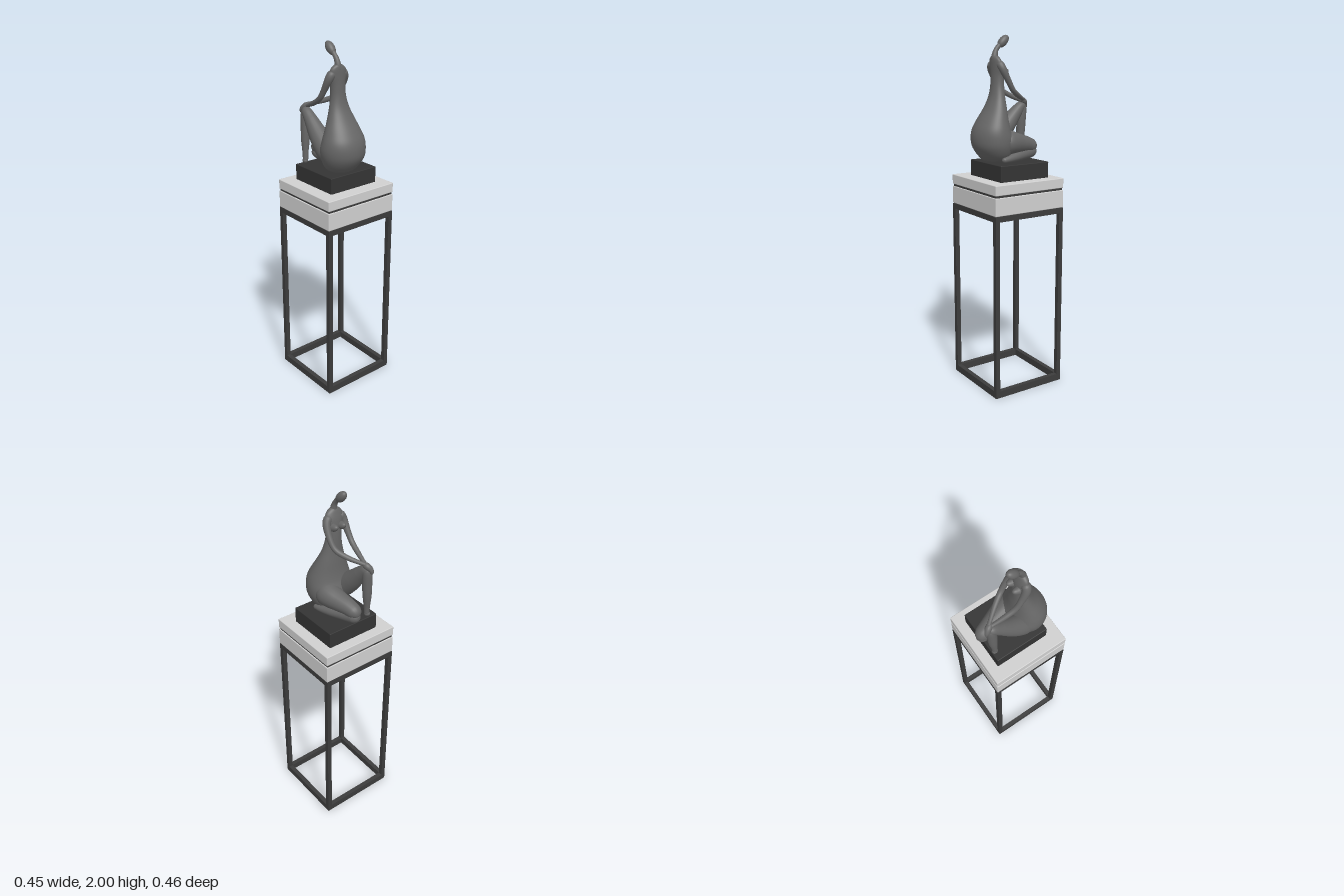
import * as THREE from 'three';
import { mergeVertices } from 'three/addons/utils/BufferGeometryUtils.js';
import { RoundedBoxGeometry } from 'three/addons/geometries/RoundedBoxGeometry.js';

const material = (name, color) => {
  const m = new THREE.MeshStandardMaterial({ color });
  m.name = name;
  return m;
};

// Smooth normals without a seam
function smooth(geometry) {
  geometry.deleteAttribute('uv');
  geometry.deleteAttribute('normal');
  const g = mergeVertices(geometry, 1e-5);
  g.computeVertexNormals();
  return g;
}

// Tapered limb with rounded ends through points [x, y, z, radius]
function limb(points, segments = 64, sides = 20) {
  const curve = new THREE.CatmullRomCurve3(points.map(p => new THREE.Vector3(p[0], p[1], p[2])));
  const radii = new THREE.CatmullRomCurve3(points.map((p, i) => new THREE.Vector3(i, p[3], 0)), false, 'catmullrom');
  const length = curve.getLength();
  const g = new THREE.TubeGeometry(curve, segments, 1, sides, false);
  const pos = g.attributes.position, nor = g.attributes.normal;
  for (let i = 0; i <= segments; i++) {
    const u = i / segments;
    const p = curve.getPointAt(u);
    let r = radii.getPoint(curve.getUtoTmapping(u)).y;
    const d = Math.min(u, 1 - u) * length;
    if (d < r) r *= Math.sqrt(Math.max(0, 1 - (1 - d / r) ** 2));
    r = Math.max(r, 0.0005);
    for (let j = 0; j <= sides; j++) {
      const k = i * (sides + 1) + j;
      pos.setXYZ(k, p.x + nor.getX(k) * r, p.y + nor.getY(k) * r, p.z + nor.getZ(k) * r);
    }
  }
  return smooth(g);
}

// Upright body through elliptical sections [y, centreX, radiusX, centreZ, radiusZ], bottom to top
function loft(rows) {
  const spline = (c, r) => new THREE.CatmullRomCurve3(
    rows.map(q => new THREE.Vector3(q[c], q[0], q[r])), false, 'catmullrom');
  const sx = spline(1, 2), sz = spline(3, 4);
  const g = new THREE.CylinderGeometry(1, 1, 1, 48, 72, true);
  const pos = g.attributes.position;
  for (let i = 0; i < pos.count; i++) {
    const t = Math.min(1, Math.max(0, pos.getY(i) + 0.5));
    const a = sx.getPoint(t), b = sz.getPoint(t);
    pos.setXYZ(i, a.x + pos.getX(i) * a.z, a.y, b.x + pos.getZ(i) * b.z);
  }
  return smooth(g);
}

export function createModel() {
  const model = new THREE.Group();
  model.name = 'sculptureOnStand';
  const iron = material('dark iron', 0x3c3c3c);
  const stone = material('pale stone', 0xd0d0d0);
  const plinth = material('black plinth', 0x343434);
  const bronze = material('grey bronze', 0x666666);

  const add = (parent, name, geometry, mat, x = 0, y = 0, z = 0) => {
    const mesh = new THREE.Mesh(geometry, mat);
    mesh.name = name;
    mesh.position.set(x, y, z);
    parent.add(mesh);
    return mesh;
  };

  // Open frame of square bars
  const frame = new THREE.Group();
  frame.name = 'standFrame';
  model.add(frame);
  const W = 0.226, D = 0.23, B = 0.026;
  for (const s of [-1, 1]) {
    for (const t of [-1, 1]) {
      add(frame, 'post', new THREE.BoxGeometry(B, 1.05, B), iron, s * (W - B / 2), 0.525, t * (D - B / 2));
    }
    for (const [y, h] of [[0.02, 0.04], [1.036, 0.032]]) {
      add(frame, 'sideRail', new THREE.BoxGeometry(B, h, 2 * (D - B)), iron, s * (W - B / 2), y, 0);
      add(frame, 'crossRail', new THREE.BoxGeometry(2 * (W - B), h, B), iron, 0, y, s * (D - B / 2));
    }
  }
  add(frame, 'topPanel', new THREE.BoxGeometry(2 * (W - B), 0.02, 2 * (D - B)), iron, 0, 1.042, 0);

  // Stone slabs with a dark recess between
  add(model, 'lowerSlab', new RoundedBoxGeometry(0.452, 0.1, 0.462, 2, 0.004), stone, 0, 1.102, 0);
  add(model, 'slabGap', new THREE.BoxGeometry(0.442, 0.02, 0.45), iron, 0, 1.158, 0);
  add(model, 'upperSlab', new RoundedBoxGeometry(0.452, 0.056, 0.462, 2, 0.004), stone, 0, 1.192, 0);
  add(model, 'plinthBlock', new RoundedBoxGeometry(0.318, 0.092, 0.318, 2, 0.004), plinth, -0.009, 1.264, -0.007);

  // Seated figure
  const figure = new THREE.Group();
  figure.name = 'seatedFigure';
  model.add(figure);
  const part = (name, points) => add(figure, name, limb(points), bronze);

  add(figure, 'torso', loft([
    [1.308, 0.07, 0.001, 0.02, 0.001],
    [1.312, 0.07, 0.055, 0.02, 0.06],
    [1.34, 0.075, 0.085, 0.02, 0.1],
    [1.39, 0.085, 0.108, 0.02, 0.125],
    [1.44, 0.088, 0.113, 0.022, 0.132],
    [1.49, 0.092, 0.1, 0.022, 0.125],
    [1.54, 0.084, 0.082, 0.021, 0.107],
    [1.6, 0.068, 0.06, 0.02, 0.082],
    [1.66, 0.056, 0.043, 0.022, 0.06],
    [1.72, 0.05, 0.036, 0.024, 0.046],
    [1.78, 0.049, 0.033, 0.027, 0.045],
    [1.83, 0.052, 0.029, 0.029, 0.054],
    [1.865, 0.057, 0.023, 0.031, 0.048],
    [1.885, 0.06, 0.016, 0.033, 0.026],
    [1.893, 0.06, 0.001, 0.034, 0.001]]), bronze);

  part('neck', [[0.06, 1.85, 0.033, 0.022], [0.06, 1.885, 0.034, 0.018],
    [0.051, 1.915, 0.036, 0.014], [0.034, 1.937, 0.037, 0.013], [0.01, 1.958, 0.037, 0.014]]);
  const head = add(figure, 'head', new THREE.SphereGeometry(1, 32, 24), bronze, 0.002, 1.965, 0.037);
  head.scale.set(0.024, 0.043, 0.024);
  head.rotation.z = Math.PI / 4;

  // Small pointed breasts
  for (const z of [0.004, 0.054]) {
    part('breast', [[0.04, 1.795, z, 0.024], [0.015, 1.8, z, 0.02], [-0.01, 1.81, z, 0.01]]);
  }

  // Arms meeting on the raised knee
  part('nearArm', [[0.055, 1.855, 0.062, 0.024], [0.05, 1.82, 0.083, 0.023], [0.018, 1.755, 0.092, 0.017],
    [-0.018, 1.703, 0.094, 0.015], [-0.075, 1.668, 0.088, 0.014], [-0.135, 1.642, 0.08, 0.011], [-0.165, 1.632, 0.076, 0.012]]);
  part('farArm', [[0.055, 1.855, 0.002, 0.024], [0.045, 1.82, -0.022, 0.022], [0.012, 1.755, -0.03, 0.017],
    [-0.026, 1.7, -0.022, 0.015], [-0.08, 1.67, 0.01, 0.014], [-0.14, 1.648, 0.055, 0.011], [-0.165, 1.64, 0.075, 0.012]]);
  part('foldedHands', [[-0.14, 1.643, 0.066, 0.012], [-0.165, 1.632, 0.077, 0.018],
    [-0.182, 1.615, 0.088, 0.014], [-0.192, 1.592, 0.092, 0.007]]);

  // Raised leg
  part('raisedThigh', [[0.08, 1.39, 0.07, 0.07], [0.02, 1.435, 0.082, 0.064], [-0.05, 1.5, 0.084, 0.052],
    [-0.11, 1.565, 0.084, 0.038], [-0.15, 1.603, 0.084, 0.029], [-0.178, 1.615, 0.084, 0.022]]);
  part('raisedShin', [[-0.155, 1.625, 0.084, 0.022], [-0.158, 1.585, 0.085, 0.027], [-0.156, 1.52, 0.088, 0.027],
    [-0.154, 1.44, 0.092, 0.024], [-0.15, 1.37, 0.096, 0.017], [-0.148, 1.318, 0.098, 0.015]]);
  part('raisedFoot', [[-0.135, 1.327, 0.092, 0.016], [-0.15, 1.325, 0.099, 0.016], [-0.165, 1.32, 0.106, 0.011]]);

  // Folded leg resting on the block
  part('foldedThigh', [[0.08, 1.42, -0.03, 0.08], [0.01, 1.415, -0.035, 0.068], [-0.06, 1.405, -0.022, 0.056],
    [-0.12, 1.395, -0.008, 0.047], [-0.165, 1.382, 0.0, 0.04], [-0.198, 1.37, 0.002, 0.03]]);
  part('foldedShin', [[-0.196, 1.362, 0.002, 0.03], [-0.155, 1.35, -0.002, 0.036], [-0.09, 1.342, -0.025, 0.033],
    [-0.02, 1.335, -0.055, 0.027], [0.04, 1.328, -0.075, 0.019], [0.085, 1.323, -0.082, 0.014]]);
  return model;
}
